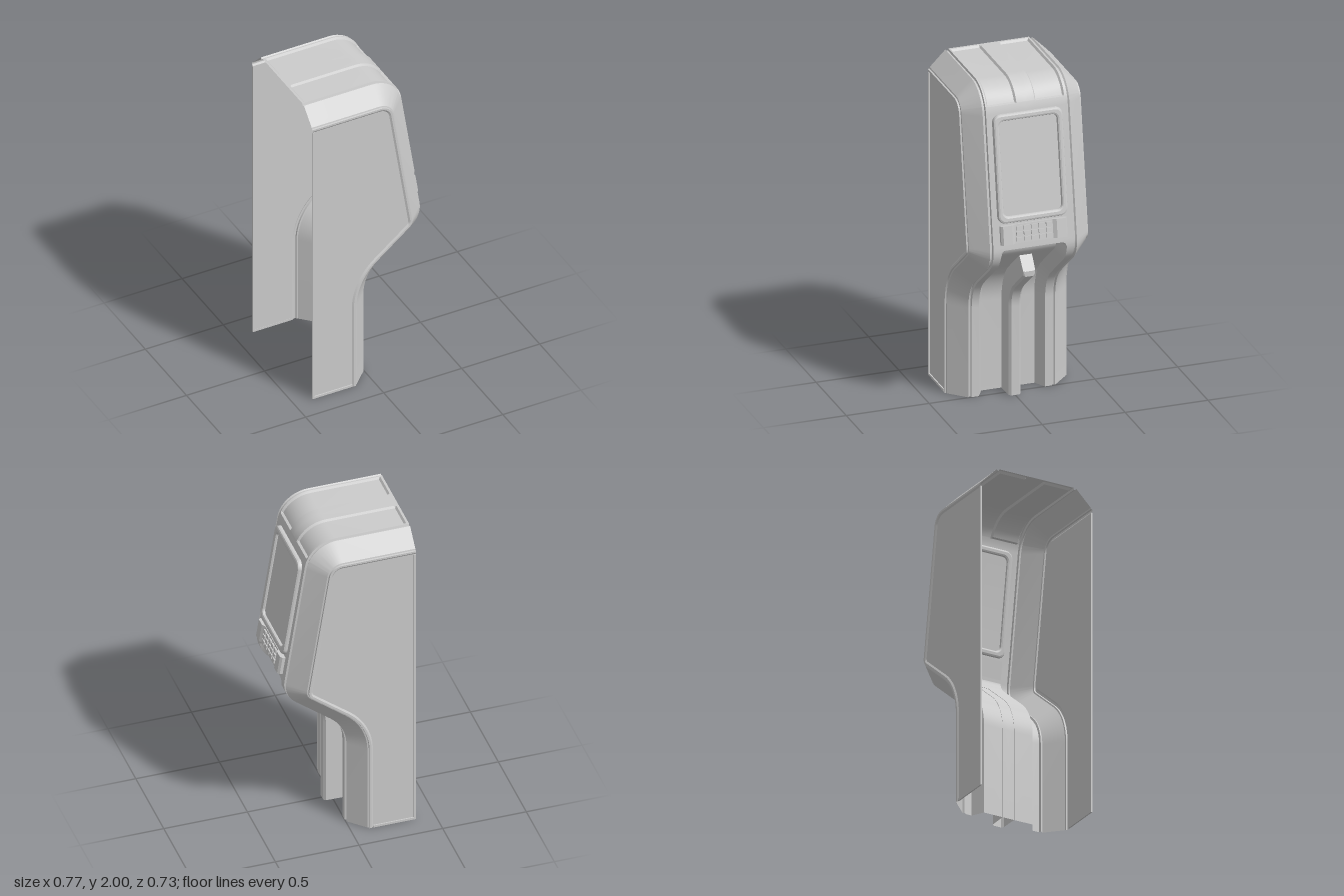
import * as THREE from 'three';
import { toCreasedNormals } from 'three/addons/utils/BufferGeometryUtils.js';

const grey = new THREE.MeshStandardMaterial({ color: 0xcccccc, side: THREE.DoubleSide });

// Outer profile: corner points with fillet radii, walked from the top rear to the floor
const corners = [[-0.385, 2, 0], [0.213, 2, 0.19], [0.374, 0.969, 0.16], [0, 0.67, 0.25], [0, 0, 0]];

function buildPath() {
  const nodes = [];
  const add = (x, y, a) => {
    const p = nodes[nodes.length - 1];
    nodes.push({ x, y, a, s: p ? p.s + Math.hypot(x - p.x, y - p.y) : 0 });
  };
  const angle = i => Math.atan2(corners[i + 1][1] - corners[i][1], corners[i + 1][0] - corners[i][0]);
  add(corners[0][0], corners[0][1], angle(0));
  for (let i = 1; i < corners.length - 1; i++) {
    const [px, py, r] = corners[i];
    const a1 = angle(i - 1), a2 = angle(i);
    const sgn = a2 < a1 ? 1 : -1;
    const t = r * Math.tan(Math.abs(a2 - a1) / 2);
    const cx = px - Math.cos(a1) * t + sgn * Math.sin(a1) * r;
    const cy = py - Math.sin(a1) * t - sgn * Math.cos(a1) * r;
    for (let k = 0; k <= 10; k++) {
      const a = a1 + (a2 - a1) * k / 10;
      add(cx - sgn * Math.sin(a) * r, cy + sgn * Math.cos(a) * r, a);
    }
  }
  const last = corners.length - 1;
  add(corners[last][0], corners[last][1], angle(last - 1));
  return nodes;
}

const path = buildPath();
const END = path[path.length - 1].s;
const mix = (a, b, t) => a + (b - a) * t;

// Point on the profile at arc length s, moved inward by off
function at(s, off) {
  let i = 1;
  while (i < path.length - 1 && path[i].s < s) i++;
  const p = path[i - 1], q = path[i], t = (s - p.s) / (q.s - p.s);
  const a = mix(p.a, q.a, t);
  return [mix(p.x, q.x, t) + Math.sin(a) * off, mix(p.y, q.y, t) - Math.cos(a) * off];
}

function sAtY(y) {
  const i = path.findIndex(n => n.y <= y);
  const p = path[i - 1], q = path[i];
  return mix(p.s, q.s, (p.y - y) / (p.y - q.y));
}

// Interpolated value row; each row starts with its arc length
function rowAt(rows, s) {
  let i = 1;
  while (i < rows.length - 1 && rows[i][0] < s) i++;
  const p = rows[i - 1], q = rows[i], t = (s - p[0]) / (q[0] - p[0]);
  return p.map((v, k) => mix(v, q[k], t)).slice(1);
}

const stationsFor = rows => [...new Set([...path.map(n => n.s), ...rows.map(r => r[0])])]
  .filter(s => s >= rows[0][0]).sort((a, b) => a - b);

// Skin a list of { s, pts: [[inset, z], ...] } sections
function skin(sections) {
  const pos = [], idx = [], n = sections[0].pts.length;
  sections.forEach(({ s, pts }, i) => pts.forEach(([off, z], j) => {
    pos.push(...at(s, off), z);
    if (i && j) {
      const d = i * n + j, c = d - 1, b = d - n, a = b - 1;
      idx.push(a, b, c, b, d, c);
    }
  }));
  const g = new THREE.BufferGeometry();
  g.setAttribute('position', new THREE.Float32BufferAttribute(pos, 3));
  g.setIndex(idx);
  return toCreasedNormals(g, 0.4);
}

function mesh(name, geo, parent, x = 0, y = 0, z = 0) {
  const m = new THREE.Mesh(geo, grey);
  m.name = name;
  m.position.set(x, y, z);
  parent.add(m);
  return m;
}

function roundRect(w, h, r, Type = THREE.Shape) {
  const p = new Type(), x = w / 2 - r, y = h / 2 - r;
  p.absarc(x, y, r, 0, Math.PI / 2);
  p.absarc(-x, y, r, Math.PI / 2, Math.PI);
  p.absarc(-x, -y, r, Math.PI, Math.PI * 1.5);
  p.absarc(x, -y, r, Math.PI * 1.5, Math.PI * 2);
  p.closePath();
  return p;
}

const extrude = (shape, depth, bevel) => new THREE.ExtrudeGeometry(shape, {
  depth: depth - bevel, bevelThickness: bevel, bevelSize: bevel, bevelOffset: -bevel,
  bevelSegments: 2, curveSegments: 6
});

// One half of the casing: top panels, front recess, seam groove, chamfer and side rim
function shellGeometry() {
  const topEnd = sAtY(1.885), recess = sAtY(1.045);
  const panel = d => [0, 0.055, d, 0.064, 0.225, 0.234];
  const rows = [
    [0, ...panel(0)], [0.014, ...panel(0)], [0.024, ...panel(0.012)],
    [topEnd - 0.01, ...panel(0.012)], [topEnd, ...panel(0)],
    [recess, 0, 0.03, 0, 0.06, 0.14, 0.175],
    [recess + 0.012, 0.035, 0.03, 0.035, 0.06, 0.152, 0.193],
    [recess + 0.03, 0.07, 0.03, 0.07, 0.06, 0.16, 0.2],
    [END, 0.07, 0.03, 0.07, 0.06, 0.16, 0.2]
  ];
  return skin(stationsFor(rows).map(s => {
    const [a, za, b, zb, zc, zd] = rowAt(rows, s);
    return { s, pts: [[a, 0], [a, za], [b, zb], [b, zc], [0, zd], [0, 0.243],
      [0.012, 0.247], [0.012, 0.254], [0.004, 0.262], [0.098, 0.356],
      [0.106, 0.358], [0.108, 0.367], [0.12, 0.367], [0.13, 0.36]] };
  }));
}

// Flat side panel filling the area inside the rim
function sidePanelGeometry() {
  const pts = path.map(n => new THREE.Vector2(...at(n.s, 0.13)));
  pts.push(new THREE.Vector2(-0.385, 0));
  return new THREE.ShapeGeometry(new THREE.Shape(pts));
}

// Raised guide running down the front recess, with a closed rounded upper end
function ridgeGeometry() {
  const s0 = sAtY(0.885);
  const rows = [[s0, -0.025, -0.03], [s0 + 0.02, -0.043, -0.055], [END, -0.043, -0.055]];
  const section = (s, k) => {
    const [side, top] = rowAt(rows, s);
    const half = [[0.072, 0.038], [side, 0.036], [top, 0.024]];
    return { s, pts: [...half.map(([o, z]) => [o, -z * k]), ...half.reverse().map(([o, z]) => [o, z * k])] };
  };
  return skin([section(s0, 0), ...stationsFor(rows).map(s => section(s, 1))]);
}

export function createModel() {
  const model = new THREE.Group();
  const shell = shellGeometry(), side = sidePanelGeometry();

  // Mirrored casing halves
  for (const m of [1, -1]) {
    const half = new THREE.Group();
    half.name = m > 0 ? 'leftCasing' : 'rightCasing';
    half.scale.z = m;
    model.add(half);
    mesh('casingShell', shell, half);
    mesh('sidePanel', side, half, 0, 0, 0.36);
    mesh('rearRim', new THREE.BoxGeometry(0.012, 1.87, 0.008), half, -0.379, 0.935, 0.363);
    mesh('bottomRim', new THREE.BoxGeometry(0.255, 0.014, 0.008), half, -0.2575, 0.007, 0.363);
  }
  mesh('centreGuide', ridgeGeometry(), model);

  // Controls lie on the sloping front face
  const front = new THREE.Group();
  front.name = 'frontControls';
  front.rotation.set(0, Math.PI / 2, Math.atan(0.156), 'ZYX');
  front.position.set(0.291, 1.5, 0);
  model.add(front);

  // Screen frame and recessed glass
  const frame = roundRect(0.42, 0.64, 0.045);
  frame.holes.push(roundRect(0.35, 0.56, 0.03, THREE.Path));
  mesh('screenFrame', extrude(frame, 0.026, 0.012), front, 0, 0.022, 0);
  mesh('screen', new THREE.PlaneGeometry(0.38, 0.59), front, 0, 0.022, 0.008);

  // Keypad bar: raised ends with a lower middle
  const bar = new THREE.Shape([[-0.2, 0], [-0.2, 0.018], [-0.188, 0.03], [-0.135, 0.03], [-0.115, 0.016],
    [0.115, 0.016], [0.135, 0.03], [0.188, 0.03], [0.2, 0.018], [0.2, 0]].map(p => new THREE.Vector2(...p)));
  const barGeo = new THREE.ExtrudeGeometry(bar, { depth: 0.112, bevelEnabled: false });
  barGeo.rotateX(Math.PI / 2);
  barGeo.scale(1, 1, 1).translate(0, 0.056, 0);
  mesh('keypadBar', barGeo, front, 0, -0.367, 0);
  const key = new THREE.BoxGeometry(0.034, 0.024, 0.012);
  for (let r = -1; r <= 1; r++) {
    for (let c = -2; c <= 2; c++) mesh('key', key, front, c * 0.045, -0.367 + r * 0.033, 0.02);
  }
  return model;
}
